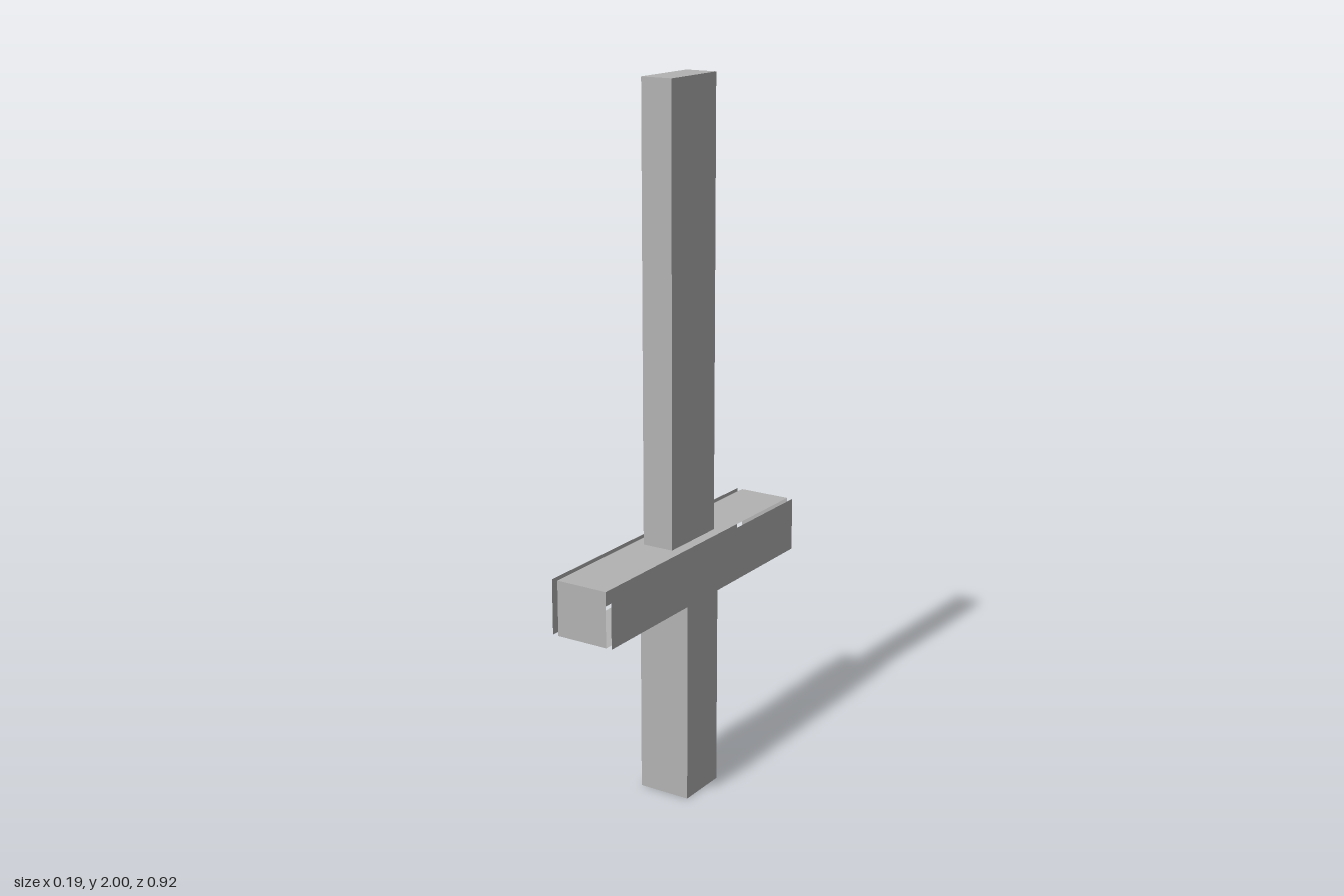
import * as THREE from 'three';

export function createModel() {
  const model = new THREE.Group();
  model.name = 'sword';
  const grey = new THREE.MeshStandardMaterial({ color: 0xb2b2b2, side: THREE.DoubleSide });
  grey.name = 'plain grey';

  const add = (parent, name, geometry, x, y, z) => {
    const mesh = new THREE.Mesh(geometry, grey);
    mesh.name = name;
    mesh.position.set(x, y, z);
    parent.add(mesh);
  };

  const guardBottom = 0.588, guardTop = 0.742;
  const size = guardTop - guardBottom, length = 0.92;
  const midY = (guardBottom + guardTop) / 2;

  // Grip and blade
  add(model, 'grip', new THREE.BoxGeometry(size, guardBottom, size), 0, guardBottom / 2, 0);
  add(model, 'blade', new THREE.BoxGeometry(0.092, 2 - guardTop, 0.212), 0, (2 + guardTop) / 2, 0);

  // Hollow crossguard of six flat panels, its long sides standing slightly clear
  const guard = new THREE.Group();
  guard.name = 'crossguard';
  guard.position.y = midY;
  model.add(guard);
  for (const s of [1, -1]) {
    add(guard, s > 0 ? 'guardLeftPanel' : 'guardRightPanel',
      new THREE.PlaneGeometry(length, size).rotateY(s * Math.PI / 2), s * 0.094, 0, 0);
    add(guard, s > 0 ? 'guardTopPanel' : 'guardBottomPanel',
      new THREE.PlaneGeometry(size, length).rotateX(-s * Math.PI / 2), 0, s * size / 2, 0);
    add(guard, s > 0 ? 'guardFrontPanel' : 'guardBackPanel',
      new THREE.PlaneGeometry(size, size).rotateY(s > 0 ? 0 : Math.PI), 0, 0, s * length / 2);
  }
  return model;
}
